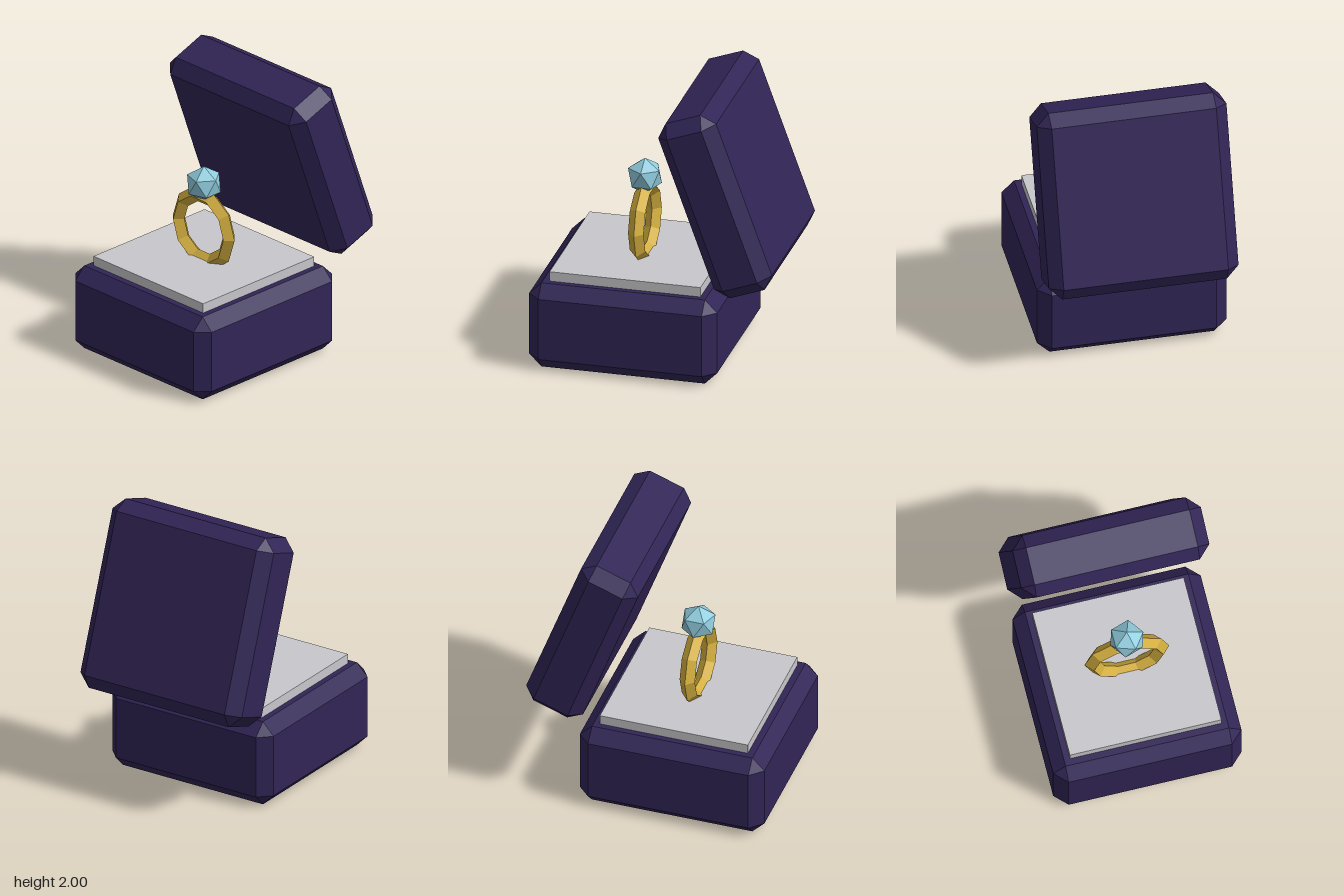
import * as THREE from 'three';
import { ConvexGeometry } from 'three/addons/geometries/ConvexGeometry.js';

function material(name, color) {
  const m = new THREE.MeshStandardMaterial({ color });
  m.name = name;
  return m;
}

// Box with every edge cut at 45 degrees and triangular corners
function chamferBox(w, h, d, c) {
  const points = [];
  for (const sx of [-1, 1]) for (const sy of [-1, 1]) for (const sz of [-1, 1]) {
    const x = w / 2, y = h / 2, z = d / 2;
    points.push(
      new THREE.Vector3(sx * x, sy * (y - c), sz * (z - c)),
      new THREE.Vector3(sx * (x - c), sy * y, sz * (z - c)),
      new THREE.Vector3(sx * (x - c), sy * (y - c), sz * z)
    );
  }
  return new ConvexGeometry(points);
}

// Twenty-sided stone standing on a point, with two staggered rings of five
function gemGeometry(r) {
  const points = [new THREE.Vector3(0, r, 0), new THREE.Vector3(0, -r, 0)];
  const ring = r * 2 / Math.sqrt(5), level = r / Math.sqrt(5);
  for (let i = 0; i < 10; i++) {
    const a = i * Math.PI / 5;
    points.push(new THREE.Vector3(ring * Math.cos(a), i % 2 ? -level : level, ring * Math.sin(a)));
  }
  return new ConvexGeometry(points);
}

export function createModel() {
  const model = new THREE.Group();
  model.name = 'ringBox';

  const velvet = material('purple velvet', 0x312556);
  const satin = material('grey satin', 0xc8c8cc);
  const gold = material('gold', 0xd4af3f);
  const crystal = material('pale blue crystal', 0x8fcbdc);

  function add(name, geometry, mat, x, y, z) {
    const mesh = new THREE.Mesh(geometry, mat);
    mesh.name = name;
    mesh.position.set(x, y, z);
    model.add(mesh);
    return mesh;
  }

  // Case: base and tilted open lid
  add('base', chamferBox(1.33, 0.625, 1.335, 0.088), velvet, 0, 0.3125, 0.197);
  const lid = add('lid', chamferBox(1.33, 1.335, 0.437, 0.088), velvet, 0, 1.33, -0.455);
  lid.rotation.x = THREE.MathUtils.degToRad(20);

  // Cushion, sunk into the base
  add('cushion', new THREE.BoxGeometry(1.07, 0.17, 1.07), satin, 0, 0.61, 0.195);

  // Ring band with a diamond section
  const band = new THREE.TorusGeometry(0.245, 0.055, 4, 10).toNonIndexed();
  band.computeVertexNormals();
  add('ringBand', band, gold, 0, 0.915, 0.195);

  // Stone
  add('gem', gemGeometry(0.13), crystal, 0, 1.25, 0.195);

  return model;
}
